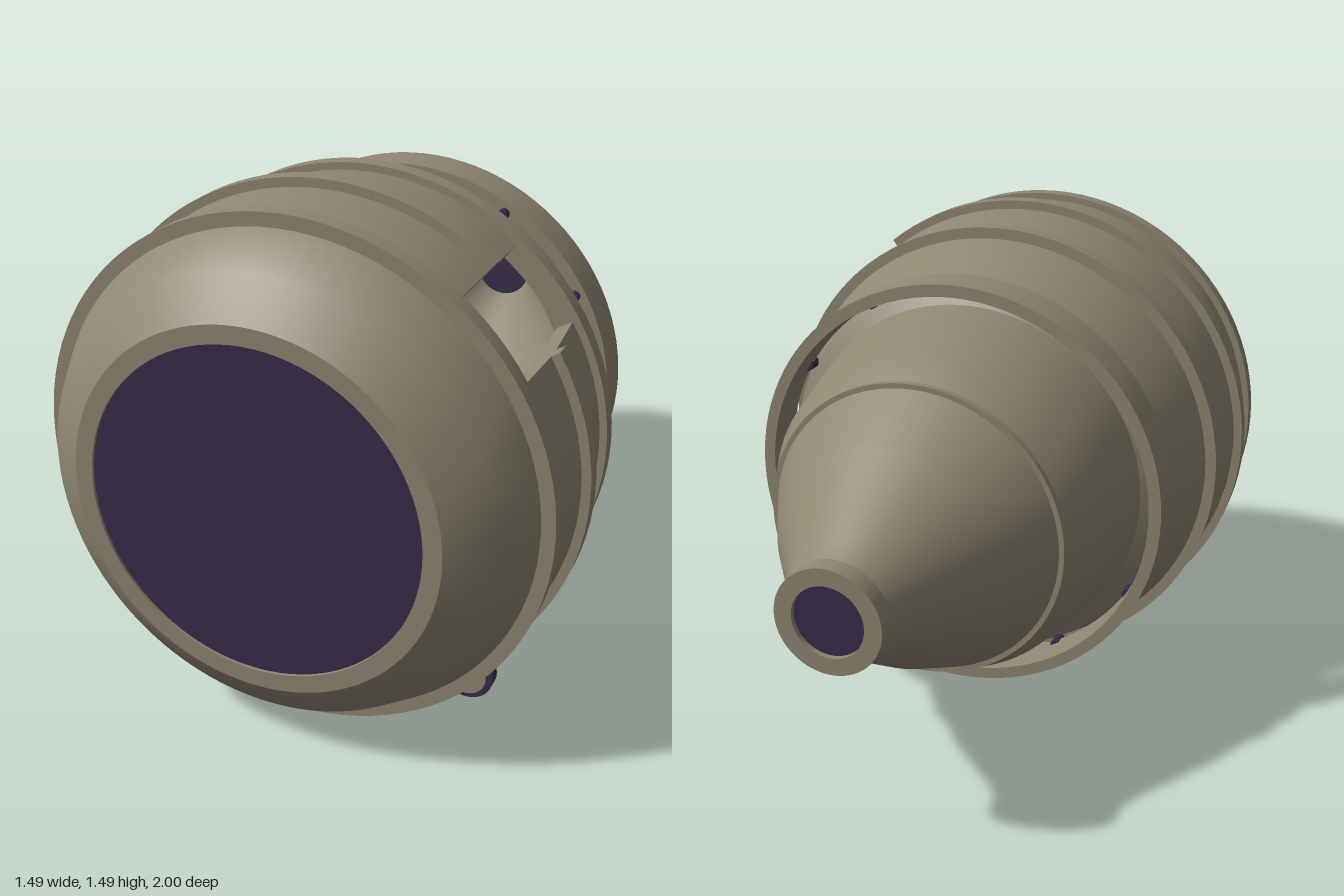
import * as THREE from 'three';
import { toCreasedNormals } from 'three/addons/utils/BufferGeometryUtils.js';

const AXIS_Y = 0.747;
const WALL = 0.05;
const rad = THREE.MathUtils.degToRad;
const WINDOW = [30, 51]; // opening in the left flank, degrees above +x

export function createModel() {
  const model = new THREE.Group();
  const body = new THREE.Group();
  body.name = 'body';
  body.position.y = AXIS_Y;
  model.add(body);

  const olive = new THREE.MeshStandardMaterial({ color: 0x8f8672, side: THREE.DoubleSide });
  olive.name = 'olive metal';
  const dark = new THREE.MeshStandardMaterial({ color: 0x382d4c });
  dark.name = 'dark violet';

  function add(parent, name, geometry, material, x = 0, y = 0, z = 0) {
    const mesh = new THREE.Mesh(geometry, material);
    mesh.name = name;
    mesh.position.set(x, y, z);
    parent.add(mesh);
    return mesh;
  }

  // Turns a closed [radius, z] outline about the z axis, leaving out the window if asked
  function turned(name, outline, windowed = false, parent = body, material = olive) {
    const pts = outline.map(([r, z]) => new THREE.Vector2(r, z));
    const start = windowed ? rad(WINDOW[1] + 90) : 0;
    const sweep = windowed ? rad(360 - WINDOW[1] + WINDOW[0]) : Math.PI * 2;
    const lathe = new THREE.LatheGeometry([...pts, pts[0].clone()], 96, start, sweep);
    lathe.rotateX(Math.PI / 2);
    add(parent, name, toCreasedNormals(lathe, 0.56), material);
    if (!windowed) return;
    for (const angle of WINDOW) {
      const cap = new THREE.ShapeGeometry(new THREE.Shape(pts));
      cap.rotateX(Math.PI / 2).rotateZ(rad(angle));
      add(parent, name + 'End', cap, material);
    }
  }

  // Outline of a wall of even thickness, following the outer points from back to front
  const wall = (outer) => [...outer, ...[...outer].reverse().map(([r, z]) => [r - WALL, z])];
  const band = (z0, z1, rIn, rOut) => [[rIn, z0], [rOut, z0], [rOut, z1], [rIn, z1]];
  const cylinder = (r, length) => new THREE.CylinderGeometry(r, r, length, 40).rotateX(Math.PI / 2);

  // Hull: tapered tail, belly with the window, rounded nose
  turned('tailHull', wall([
    [0.145, -0.95], [0.185, -0.86], [0.33, -0.64], [0.43, -0.45], [0.488, -0.35],
    [0.525, -0.15], [0.545, -0.03], [0.597, 0], [0.692, 0.26], [0.695, 0.285],
  ]));
  turned('bellyHull', wall([[0.695, 0.285], [0.722, 0.53], [0.704, 0.745]]), true);
  turned('noseHull', [
    [0.704, 0.745], [0.7, 0.77], [0.62, 0.925], [0.51, 1],
    [0.46, 1], [0.46, 0.95], [0.57, 0.9], [0.654, 0.745],
  ]);

  // Raised hoops
  turned('rearHoop', band(0.235, 0.285, 0.66, 0.716));
  turned('middleHoop', band(0.505, 0.555, 0.67, 0.746), true);
  turned('frontHoop', band(0.745, 0.795, 0.66, 0.725));
  turned('tailHoop', band(-0.455, -0.435, 0.4, 0.442));

  // Free-standing collar, held by twelve studs
  turned('collar', band(-0.15, -0.02, 0.6, 0.636));
  for (let i = 0; i < 12; i++) {
    const a = rad(i * 30);
    const stud = cylinder(0.016, 0.05);
    add(body, 'collarStud', stud, dark, 0.604 * Math.cos(a), 0.604 * Math.sin(a), -0.022);
  }

  // Nose disc and tail nozzle
  add(body, 'noseDisc', cylinder(0.461, 0.04), dark, 0, 0, 0.972);
  turned('nozzle', band(-1, -0.945, 0.1, 0.148));
  add(body, 'nozzleCore', cylinder(0.102, 0.03), dark, 0, 0, -0.97);

  // Core and rod seen through the window
  add(body, 'innerCore', cylinder(0.11, 0.2), dark, 0, 0, 0.02);
  add(body, 'innerRod', cylinder(0.028, 0.2), olive, 0, 0.01, -0.15);

  // Small canister under the left flank
  const canister = new THREE.Group();
  canister.name = 'canister';
  canister.position.set(0.424, 0.1, 0.402);
  model.add(canister);
  add(canister, 'canisterTube', cylinder(0.06, 0.35), olive);
  for (const side of [-1, 1]) {
    add(canister, 'canisterRing', cylinder(0.079, 0.036), dark, 0, 0, side * 0.148);
  }

  return model;
}
